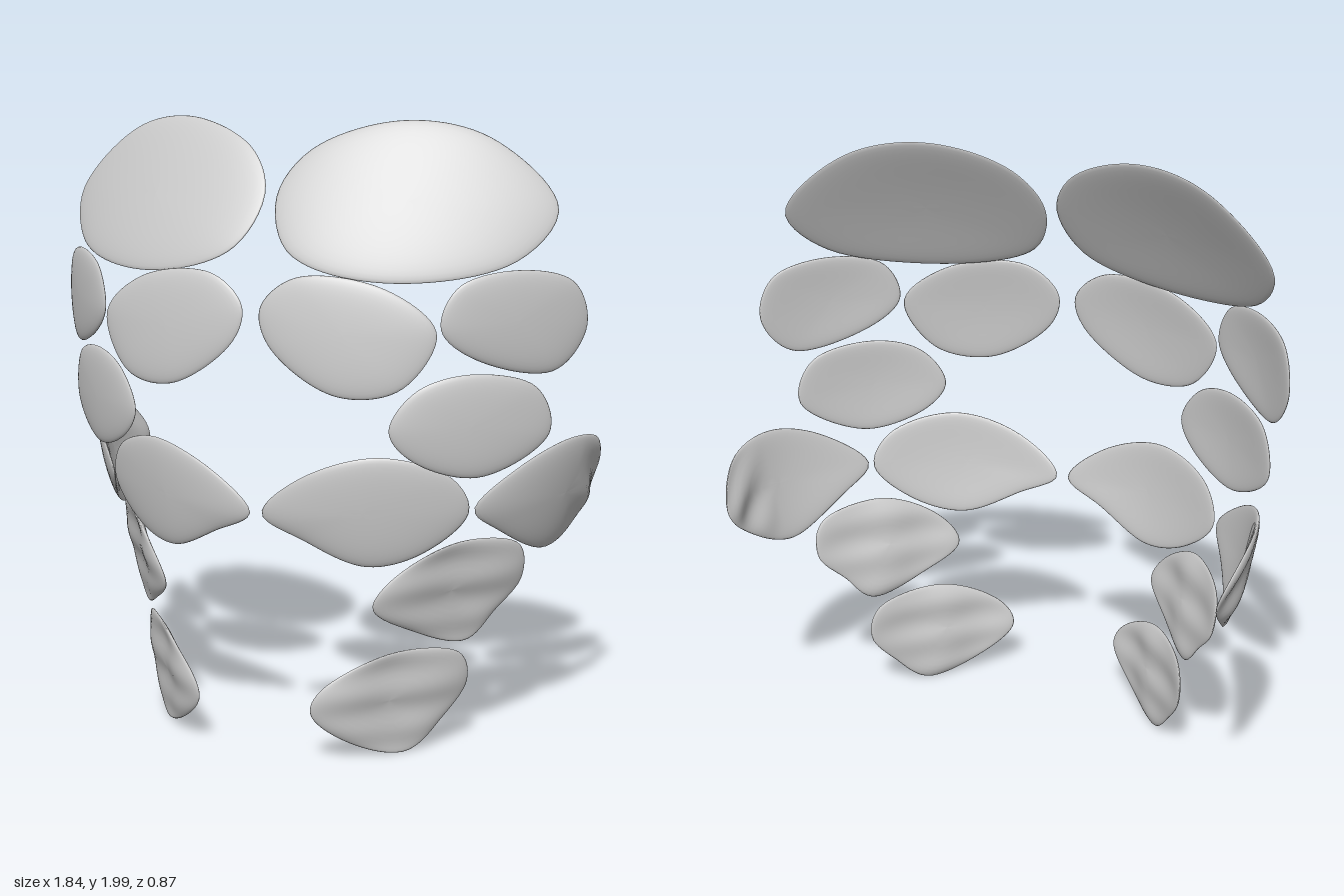
import * as THREE from 'three';

const material = new THREE.MeshStandardMaterial({ color: 0xcccccc, side: THREE.DoubleSide });
const HALF_THICK = 0.011, DOME = 0.01, SEGMENTS = 72, STEPS = 11;

// Relief rules: u runs along the plate from its middle, v runs up
const groove = (u, v) => -0.02 * Math.exp(-((u / 0.08) ** 2)) + 0.004 * Math.sin(45 * v);
const crumple = (u, v) => 0.09 * Math.max(0, -u - 0.04) * Math.sin(30 * v - 20 * u);
const smooth = () => 0;

// Thin shell on a curved sheet: depth = peak - bend * (t - axis)^2 + tilt * (y - middle).
// t is x and depth is z, or the other way round for a sideways plate.
function plateGeometry(side, outline, { peak, bend, tilt, axis = 0, sideways = false, relief = smooth }) {
  const corners = outline.map(([t, y]) => new THREE.Vector3(t, y, 0));
  if (side > 0) corners.reverse();
  const rim = new THREE.CatmullRomCurve3(corners, true).getSpacedPoints(SEGMENTS).slice(0, SEGMENTS);
  const middle = new THREE.Vector3();
  rim.forEach((p) => middle.addScaledVector(p, 1 / SEGMENTS));

  // Rings grow from the centre to the rim over the front, then shrink over the back
  const last = 2 * STEPS;
  const positions = [], index = [];
  for (let r = 0; r <= last; r++) {
    const angle = (r / last) * Math.PI;
    const s = Math.sin(angle);
    const skin = Math.sign(STEPS - r) * HALF_THICK * Math.sqrt(Math.max(0, 1 - s ** 6));
    rim.forEach((p, i) => {
      const point = middle.clone().lerp(p, r === last ? 0 : s);
      const u = point.x - middle.x, v = point.y - middle.y;
      const run = point.x - axis;
      point.z = peak - bend * run * run + tilt * v;
      const normal = new THREE.Vector3(2 * bend * run, -tilt, 1).normalize();
      const lift = DOME * (1 - s * s) + relief(u, v) * (1 - s ** 4) + skin;
      point.addScaledVector(normal, lift);
      const x = sideways ? point.z : point.x, z = sideways ? point.x : point.z;
      positions.push(x * side, point.y, z);

      if (r === 0) return;
      const j = (i + 1) % SEGMENTS;
      const inner = (r - 1) * SEGMENTS, outer = r * SEGMENTS;
      if (r < last) index.push(inner + i, outer + i, outer + j);
      if (r > 1) index.push(inner + i, outer + j, inner + j);
    });
  }
  const geometry = new THREE.BufferGeometry();
  geometry.setAttribute('position', new THREE.Float32BufferAttribute(positions, 3));
  geometry.setIndex(index);
  geometry.computeVertexNormals();
  return geometry;
}

export function createModel() {
  const model = new THREE.Group();
  model.name = 'facePlates';

  // Mirrored pair; outlines run from the inner end over the top
  const addPair = (name, sheet, outline) => {
    for (const side of [1, -1]) {
      const mesh = new THREE.Mesh(plateGeometry(side, outline, sheet), material);
      mesh.name = `${side > 0 ? 'left' : 'right'} ${name}`;
      model.add(mesh);
    }
  };

  // Forehead
  addPair('brow plate', { peak: 0.285, bend: 0.42, tilt: -0.54 }, [
    [0.02, 1.77], [0.1, 1.905], [0.36, 1.995], [0.62, 1.945],
    [0.835, 1.73], [0.75, 1.585], [0.4, 1.525], [0.09, 1.61]]);

  // Upper row
  addPair('upper inner plate', { peak: 0.425, bend: 0.34, tilt: -0.1 }, [
    [0.03, 1.44], [0.14, 1.535], [0.41, 1.51], [0.565, 1.38],
    [0.47, 1.21], [0.28, 1.185], [0.06, 1.33]]);
  addPair('upper outer plate', { peak: 0.542, bend: 0.71, tilt: 0 }, [
    [0.575, 1.39], [0.62, 1.52], [0.76, 1.56], [0.88, 1.52],
    [0.915, 1.37], [0.84, 1.245], [0.66, 1.295]]);

  // Cheek
  addPair('middle plate', { peak: 0.49, bend: 0.63, tilt: 0.03 }, [
    [0.435, 1.08], [0.51, 1.205], [0.65, 1.25], [0.8, 1.205],
    [0.835, 1.05], [0.67, 0.93], [0.5, 0.985]]);

  // Lower row, the outer plate sweeping back along the side
  addPair('lower inner plate', { peak: 0.395, bend: 0.56, tilt: 0.13 }, [
    [0.02, 0.79], [0.15, 0.915], [0.39, 0.99], [0.58, 0.925],
    [0.625, 0.81], [0.5, 0.68], [0.34, 0.635], [0.15, 0.715]]);
  addPair('lower outer plate',
    { peak: 0.85, bend: 0.85, tilt: 0.26, axis: -0.33, sideways: true, relief: crumple }, [
      [0.165, 0.82], [0.05, 0.95], [-0.12, 1.01], [-0.33, 0.965],
      [-0.435, 0.83], [-0.33, 0.72], [-0.14, 0.64], [0.08, 0.74]]);

  // Jaw and chin
  addPair('jaw plate', { peak: 0.47, bend: 1.08, tilt: 0.28, relief: groove }, [
    [0.365, 0.5], [0.42, 0.6], [0.59, 0.705], [0.71, 0.675],
    [0.715, 0.55], [0.65, 0.45], [0.575, 0.36], [0.45, 0.42]]);
  addPair('chin plate', { peak: 0.465, bend: 1.33, tilt: 0.13, relief: groove }, [
    [0.195, 0.17], [0.23, 0.25], [0.42, 0.355], [0.555, 0.325],
    [0.575, 0.22], [0.52, 0.11], [0.43, 0.01], [0.27, 0.08]]);

  return model;
}
